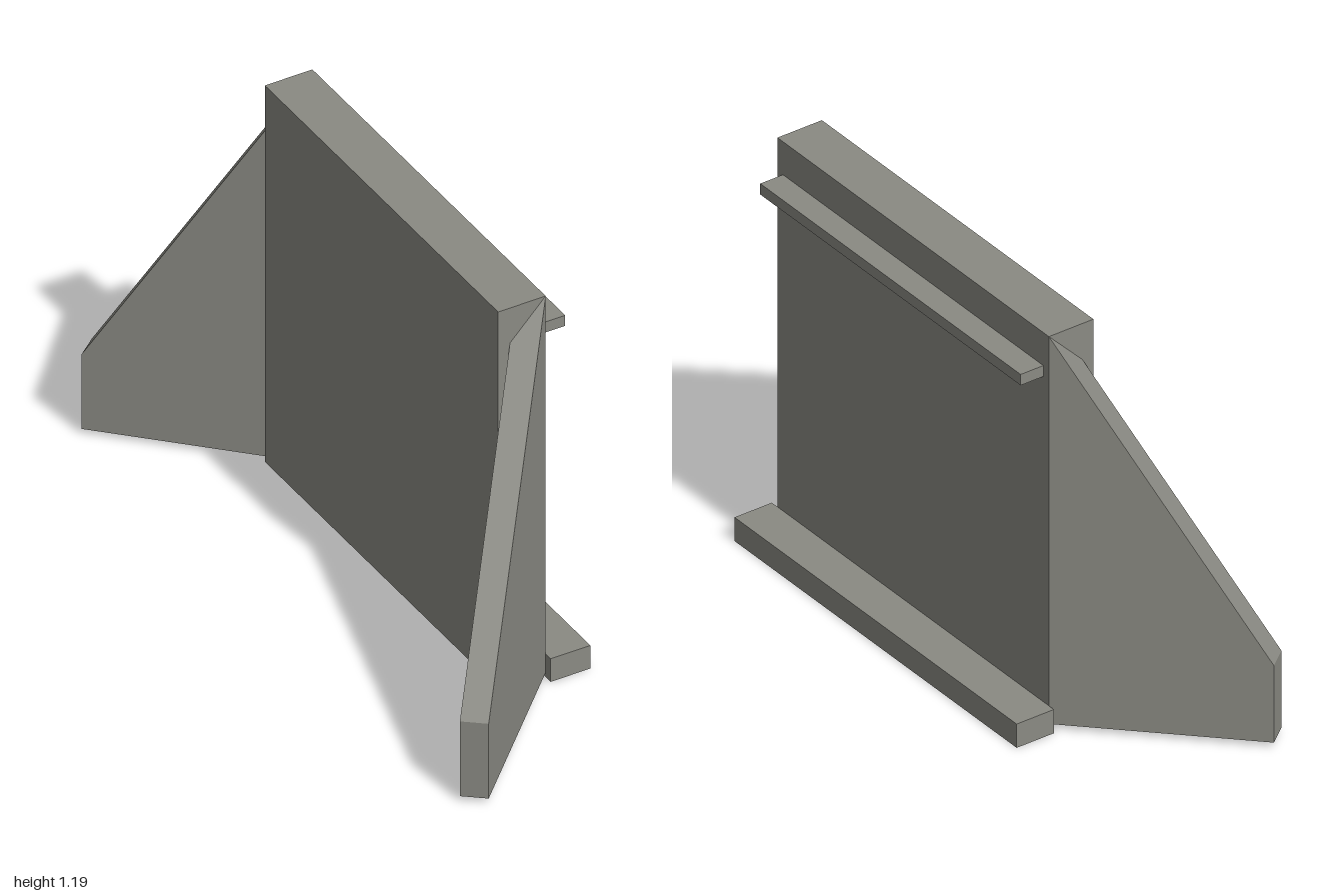
import * as THREE from 'three';

const concrete = new THREE.MeshStandardMaterial({ color: 0x8a8a83 });
concrete.name = 'concrete';

// Box given by its extents in x and y, and its half length in z
function slab(name, x0, x1, y0, y1, halfZ) {
  const mesh = new THREE.Mesh(new THREE.BoxGeometry(x1 - x0, y1 - y0, halfZ * 2), concrete);
  mesh.position.set((x0 + x1) / 2, (y0 + y1) / 2, 0);
  mesh.name = name;
  return mesh;
}

// Plan corners of a wing wall with the height of its sloping top: [x, z, top]
const WING = {
  outer: { root: [0.174, 0.588, 1.19], tip: [-0.238, 1.0, 0.249] },
  inner: { root: [0.068, 0.588, 1.081], tip: [-0.296, 0.953, 0.249] },
};

// Splayed wing wall: a unit box whose corners are moved onto the plan
function wingWall(name, side) {
  const geometry = new THREE.BoxGeometry(1, 1, 1);
  const p = geometry.attributes.position;
  for (let i = 0; i < p.count; i++) {
    const edge = p.getX(i) > 0 ? WING.outer : WING.inner;
    const [x, z, top] = p.getZ(i) * side > 0 ? edge.tip : edge.root;
    p.setXYZ(i, x, p.getY(i) > 0 ? top : 0.016, z * side);
  }
  geometry.computeVertexNormals();
  const mesh = new THREE.Mesh(geometry, concrete);
  mesh.name = name;
  return mesh;
}

export function createModel() {
  const group = new THREE.Group();
  group.name = 'abutment';
  group.add(
    slab('mainWall', 0.033, 0.174, 0.016, 1.19, 0.588),
    slab('footing', 0.175, 0.293, 0, 0.072, 0.611),
    slab('bearingLedge', 0.174, 0.246, 1.057, 1.09, 0.564),
    wingWall('frontWingWall', 1),
    wingWall('backWingWall', -1),
  );
  return group;
}
